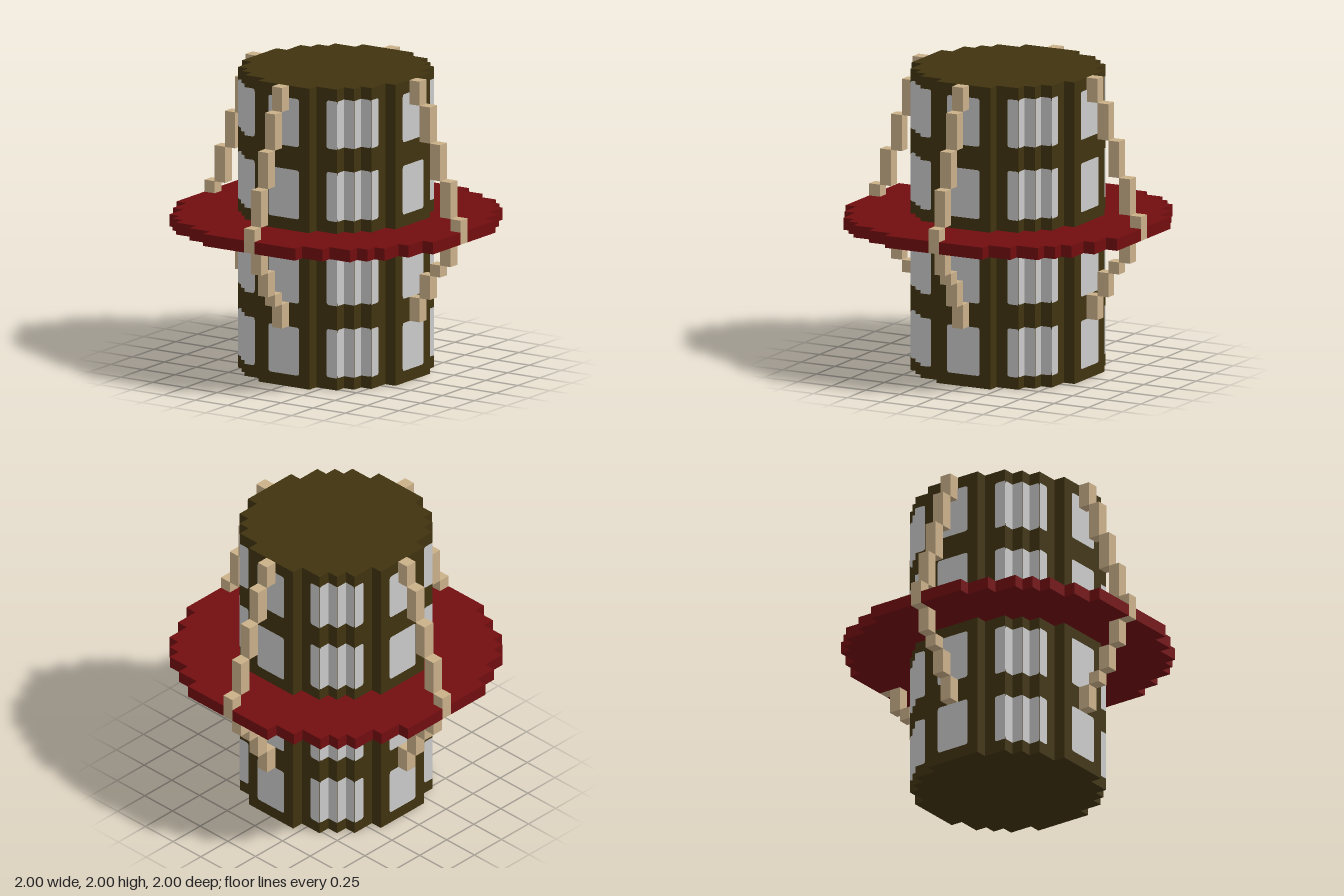
import * as THREE from 'three';

const material = (name, color) => Object.assign(new THREE.MeshStandardMaterial({ color }), { name });

// Stepped round outline: outer corners of one quadrant, turned four times.
function steppedShape(corners, notch) {
  const quadrant = [];
  if (notch) quadrant.push([0.04, 0.92], [0.04, 1]);
  corners.forEach(([x, y], i) => {
    if (i > 0) quadrant.push([corners[i - 1][0], y]);
    quadrant.push([x, y]);
  });
  if (notch) quadrant.push([1, 0.04], [0.92, 0.04]);
  const points = [];
  let turned = quadrant;
  for (let k = 0; k < 4; k++) {
    turned.forEach(([x, y]) => points.push(new THREE.Vector2(x, y)));
    turned = turned.map(([x, y]) => [y, -x]);
  }
  return new THREE.Shape(points);
}

function slab(shape, y, height) {
  const g = new THREE.ExtrudeGeometry(shape, { depth: height, bevelEnabled: false });
  return g.rotateX(-Math.PI / 2).translate(0, y, 0);
}

// Pane with separately rounded left and right ends.
function pane(x0, x1, y0, y1, rl, rr) {
  const s = new THREE.Shape();
  s.moveTo(x0 + rl, y0);
  s.lineTo(x1 - rr, y0);
  if (rr) s.quadraticCurveTo(x1, y0, x1, y0 + rr);
  s.lineTo(x1, y1 - rr);
  if (rr) s.quadraticCurveTo(x1, y1, x1 - rr, y1);
  s.lineTo(x0 + rl, y1);
  if (rl) s.quadraticCurveTo(x0, y1, x0, y1 - rl);
  s.lineTo(x0, y0 + rl);
  if (rl) s.quadraticCurveTo(x0, y0, x0 + rl, y0);
  return new THREE.ShapeGeometry(s, 4);
}

export function createModel() {
  const model = new THREE.Group();
  model.name = 'ringedTower';
  const olive = material('dark olive', 0x40330f);
  const red = material('dark red', 0x720d0f);
  const tan = material('tan', 0xcab089);
  const grey = material('pale grey', 0xcacaca);

  function add(parent, name, geometry, mat) {
    const mesh = new THREE.Mesh(geometry, mat);
    mesh.name = name;
    parent.add(mesh);
    return mesh;
  }

  // Tower body and the ring around its middle
  const bodyCorners = [[0.2, 0.6], [0.36, 0.52], [0.44, 0.44], [0.52, 0.36], [0.6, 0.2]];
  const ringCorners = [[0.36, 1], [0.52, 0.92], [0.68, 0.84], [0.76, 0.76], [0.84, 0.68], [0.92, 0.52], [1, 0.36]];
  add(model, 'body', slab(steppedShape(bodyCorners, false), 0, 2), olive);
  add(model, 'ring', slab(steppedShape(ringCorners, true), 0.96, 0.08), red);

  // Windows: left, right, depth, left rounding, right rounding
  const r = 0.02;
  const panes = [
    [-0.12, 0.12, 0.6, r, r],
    [0.28, 0.36, 0.52, r, 0], [0.36, 0.44, 0.44, 0, 0], [0.44, 0.52, 0.36, 0, r],
    [-0.36, -0.28, 0.52, 0, r], [-0.44, -0.36, 0.44, 0, 0], [-0.52, -0.44, 0.36, r, 0],
  ];
  const rows = [[0.08, 0.4], [0.56, 0.885], [1.12, 1.445], [1.6, 1.92]];

  // Stepped arms: inner radius, bottom, top
  const armBlocks = [
    [0.6, 1.84, 2], [0.68, 1.6, 1.84], [0.76, 1.36, 1.6], [0.84, 1.12, 1.36], [0.92, 0.96, 1.12],
    [0.84, 0.8, 0.96], [0.76, 0.72, 0.8], [0.68, 0.56, 0.72], [0.6, 0.4, 0.56],
  ];
  // The front arm steps one block lower at its bend
  const frontBlocks = armBlocks.map((b) => [...b]);
  frontBlocks[6][1] = 0.64;
  frontBlocks[7][2] = 0.64;

  for (let k = 0; k < 4; k++) {
    const windows = new THREE.Group();
    windows.name = 'windows' + (k + 1);
    windows.rotation.y = -k * Math.PI / 2;
    for (const [y0, y1] of rows) {
      for (const [x0, x1, z, rl, rr] of panes) {
        add(windows, 'windowPane', pane(x0, x1, y0, y1, rl, rr).translate(0, 0, z + 0.002), grey);
      }
    }
    model.add(windows);

    const arm = new THREE.Group();
    arm.name = ['leftArm', 'frontArm', 'rightArm', 'backArm'][k];
    arm.rotation.y = -k * Math.PI / 2;
    for (const [x, y0, y1] of k === 1 ? frontBlocks : armBlocks) {
      const g = new THREE.BoxGeometry(0.08, y1 - y0, 0.08).translate(x + 0.04, (y0 + y1) / 2, 0);
      add(arm, 'armBlock', g, tan);
    }
    model.add(arm);
  }
  return model;
}
